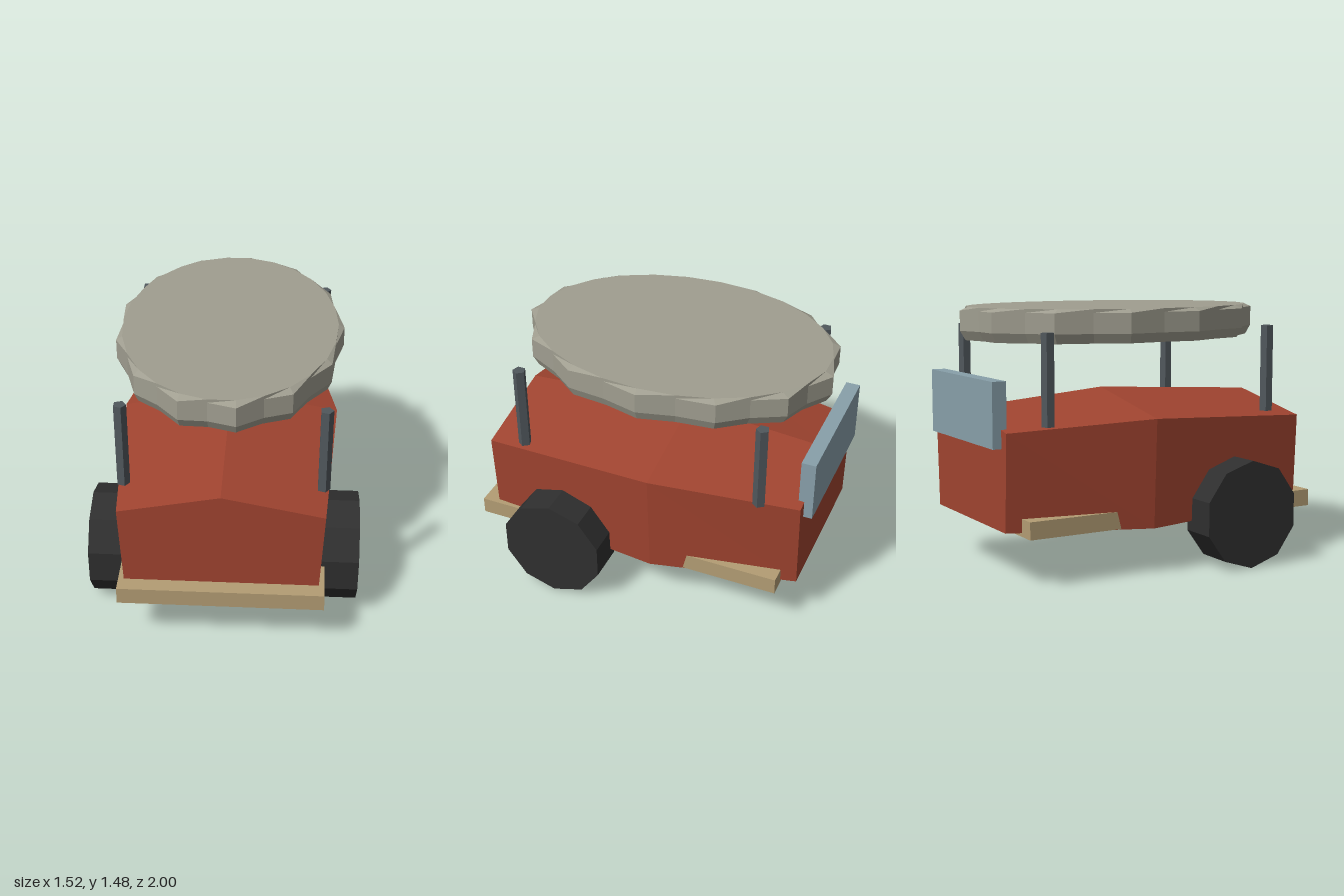
import * as THREE from 'three';

const paint = (name, color) => {
  const m = new THREE.MeshStandardMaterial({ color, flatShading: true });
  m.name = name;
  return m;
};

// Skin closed rings of points (counter-clockwise seen from the last ring) and cap both ends.
function loft(rings) {
  const pos = [];
  const tri = (...pts) => pts.forEach((p) => pos.push(...p));
  const n = rings[0].length;
  const middle = (ring) => [0, 1, 2].map((k) => ring.reduce((s, p) => s + p[k], 0) / n);
  const first = rings[0], last = rings[rings.length - 1];
  const c0 = middle(first), c1 = middle(last);
  for (let j = 0; j < n; j++) {
    const k = (j + 1) % n;
    for (let i = 0; i < rings.length - 1; i++) {
      const a = rings[i], b = rings[i + 1];
      tri(a[j], a[k], b[k]);
      tri(a[j], b[k], b[j]);
    }
    tri(c0, first[k], first[j]);
    tri(c1, last[j], last[k]);
  }
  const g = new THREE.BufferGeometry();
  g.setAttribute('position', new THREE.Float32BufferAttribute(pos, 3));
  g.computeVertexNormals();
  return g;
}

export function createModel() {
  const red = paint('body red', 0xa04430);
  const tan = paint('wood tan', 0xb39d74);
  const black = paint('tyre black', 0x2f2f2f);
  const steel = paint('post grey', 0x50575c);
  const glass = paint('glass blue', 0x88a0aa);
  const stone = paint('roof grey', 0xa09e90);

  const model = new THREE.Group();
  model.name = 'car';
  const add = (name, geo, mat, x = 0, y = 0, z = 0) => {
    const m = new THREE.Mesh(geo, mat);
    m.name = name;
    m.position.set(x, y, z);
    model.add(m);
    return m;
  };

  // Body: house-shaped sections, widest just behind the middle
  const section = (z, bottom, wb, eave, we, ridge) => [
    [-wb, bottom, z], [wb, bottom, z], [we, eave, z], [0, ridge, z], [-we, eave, z],
  ];
  add('body', loft([
    section(-0.95, 0.3, 0.455, 0.84, 0.48, 0.93),
    section(-0.11, 0.263, 0.604, 0.88, 0.63, 1.0),
    section(0.91, 0.305, 0.535, 0.83, 0.56, 0.94),
  ]), red);

  // Floor board sticking out at both ends
  add('floorBoard', new THREE.BoxGeometry(1.14, 0.098, 1.86), tan, 0, 0.324, 0.07);

  // Rear window panel
  add('rearWindow', new THREE.BoxGeometry(0.835, 0.36, 0.082), glass, 0, 0.93, -0.959);

  // Axle and ten-sided wheels
  const axle = new THREE.CylinderGeometry(0.06, 0.06, 1.1, 6).rotateX(Math.PI / 2).rotateY(Math.PI / 2);
  add('axle', axle, black, 0, 0.31, 0.445);
  const wheel = new THREE.CylinderGeometry(0.31, 0.31, 0.22, 10).rotateX(Math.PI / 2)
    .rotateY(Math.PI / 2);
  for (const s of [1, -1]) {
    add(s > 0 ? 'leftWheel' : 'rightWheel', wheel, black, s * 0.652, 0.31, 0.445);
  }

  // Five-sided roof posts
  const post = new THREE.CylinderGeometry(0.037, 0.037, 0.497, 5).rotateY(Math.PI / 2);
  for (const s of [1, -1]) {
    const side = s > 0 ? 'Left' : 'Right';
    add('front' + side + 'Post', post, steel, s * 0.545, 1.117, 0.69);
    add('back' + side + 'Post', post, steel, s * 0.545, 1.117, -0.735);
  }

  // Oval roof slab with thirteen ridges around its rim
  const teeth = 13;
  const oval = (y, scale, bump) => Array.from({ length: teeth * 2 }, (_, i) => {
    const a = (i * Math.PI) / teeth;
    const r = scale * (i % 2 ? 1 : 1 + bump);
    return [0.612 * r * Math.cos(a), y, -0.868 * r * Math.sin(a)];
  });
  add('roof', loft([
    oval(1.297, 0.965, 0.055),
    oval(1.35, 1.0, 0.055),
    oval(1.462, 1.0, 0.055),
    oval(1.482, 1.0, 0),
  ]), stone, 0, 0, -0.055);

  return model;
}
